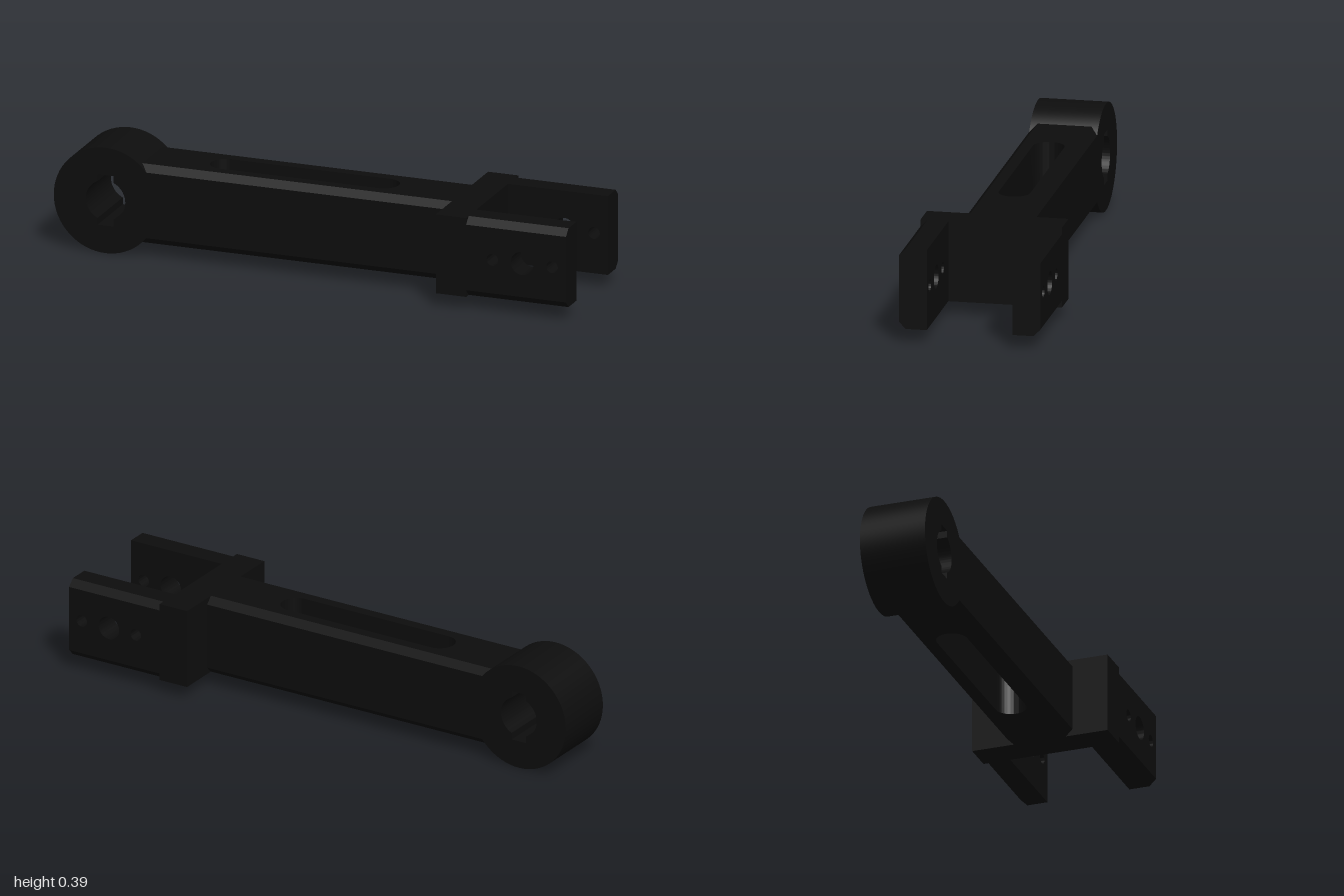
import * as THREE from 'three';
import { toCreasedNormals } from 'three/addons/utils/BufferGeometryUtils.js';

const CY = 0.197;          // height of the centre line
const H = 0.1475;          // half height of bar and fork
const C = 0.025;           // chamfer on long edges
const BAR = 0.123;         // half depth of bar and eye
const FORK_IN = 0.155, FORK_OUT = 0.256;

const polygon = (pts) => new THREE.Shape(pts.map(([x, y]) => new THREE.Vector2(x, y)));
const rect = (x0, x1, y0, y1) => polygon([[x0, y0], [x1, y0], [x1, y1], [x0, y1]]);

function circleHole(x, y, r) {
  const p = new THREE.Path();
  p.absarc(x, y, r, 0, Math.PI * 2, true);
  return p;
}

function extrude(shape, depth) {
  return new THREE.ExtrudeGeometry(shape, { depth, bevelEnabled: false, curveSegments: 32 });
}

// Prism along x from a cross-section of [z, y] points
function prismX(pts, x0, x1) {
  return extrude(polygon(pts.map(([z, y]) => [-z, y])), x1 - x0)
    .rotateY(Math.PI / 2).translate(x0, 0, 0);
}

export function createModel() {
  const model = new THREE.Group();
  const black = new THREE.MeshStandardMaterial({ color: 0x0d0d0d });
  black.name = 'black';

  function add(name, geometry, parent = model) {
    const mesh = new THREE.Mesh(toCreasedNormals(geometry, 0.5), black);
    mesh.name = name;
    parent.add(mesh);
  }

  // Round eye with a bore and two opposite keyways
  const eye = new THREE.Shape();
  eye.absarc(0, 0, 0.197, 0, Math.PI * 2, false);
  const bore = new THREE.Path();
  const a = Math.PI / 2 - Math.asin(0.03 / 0.075);
  bore.absarc(0, 0, 0.075, -a, a, false);
  bore.lineTo(0.03, 0.094);
  bore.lineTo(-0.03, 0.094);
  bore.absarc(0, 0, 0.075, Math.PI - a, Math.PI + a, false);
  bore.lineTo(-0.03, -0.094);
  bore.lineTo(0.03, -0.094);
  bore.closePath();
  eye.holes.push(bore);
  add('eye', extrude(eye, 2 * BAR).translate(-0.803, CY, -BAR));

  // Bar core with a long vertical slot
  const bar = new THREE.Group();
  bar.name = 'bar';
  model.add(bar);
  const plan = rect(-0.69, 0.52, -(BAR - C), BAR - C);
  const slot = new THREE.Path();
  const r = 0.057;
  slot.absarc(0.265 - r, 0, r, -Math.PI / 2, Math.PI / 2, false);
  slot.absarc(-0.45 + r, 0, r, Math.PI / 2, Math.PI * 1.5, false);
  slot.closePath();
  plan.holes.push(slot);
  add('barCore', extrude(plan, 2 * H).rotateX(-Math.PI / 2).translate(0, CY - H, 0), bar);

  // Fork bridge
  const bridge = new THREE.BoxGeometry(0.115, 2 * H, 2 * FORK_OUT);
  add('forkBridge', bridge.translate(0.5625, CY, 0));

  for (const s of [1, -1]) {
    const side = s > 0 ? 'front' : 'back';

    // Chamfered flank of the bar
    add(side + 'Flank', prismX([
      [s * (BAR - C), CY - H], [s * BAR, CY - H + C],
      [s * BAR, CY + H - C], [s * (BAR - C), CY + H],
    ], -0.69, 0.52), bar);

    // Fork cheek: two drilled layers, with wedges forming the outer chamfers
    const cheek = new THREE.Group();
    cheek.name = side + 'Cheek';
    model.add(cheek);
    const step = FORK_OUT - C;
    for (const [name, z0, z1, h] of [
      ['innerPlate', FORK_IN, step, H],
      ['outerPlate', step, FORK_OUT, H - C],
    ]) {
      const plate = rect(0.62, 1, CY - h, CY + h);
      for (const [x, rad] of [[0.72, 0.022], [0.833, 0.043], [0.947, 0.022]]) {
        plate.holes.push(circleHole(x, 0.2, rad));
      }
      add(name, extrude(plate, z1 - z0).translate(0, 0, s > 0 ? z0 : -z1), cheek);
    }
    for (const v of [1, -1]) {
      add(v > 0 ? 'topChamfer' : 'bottomChamfer', prismX([
        [s * step, CY + v * (H - C)], [s * FORK_OUT, CY + v * (H - C)], [s * step, CY + v * H],
      ], 0.62, 1), cheek);
    }
  }
  return model;
}
